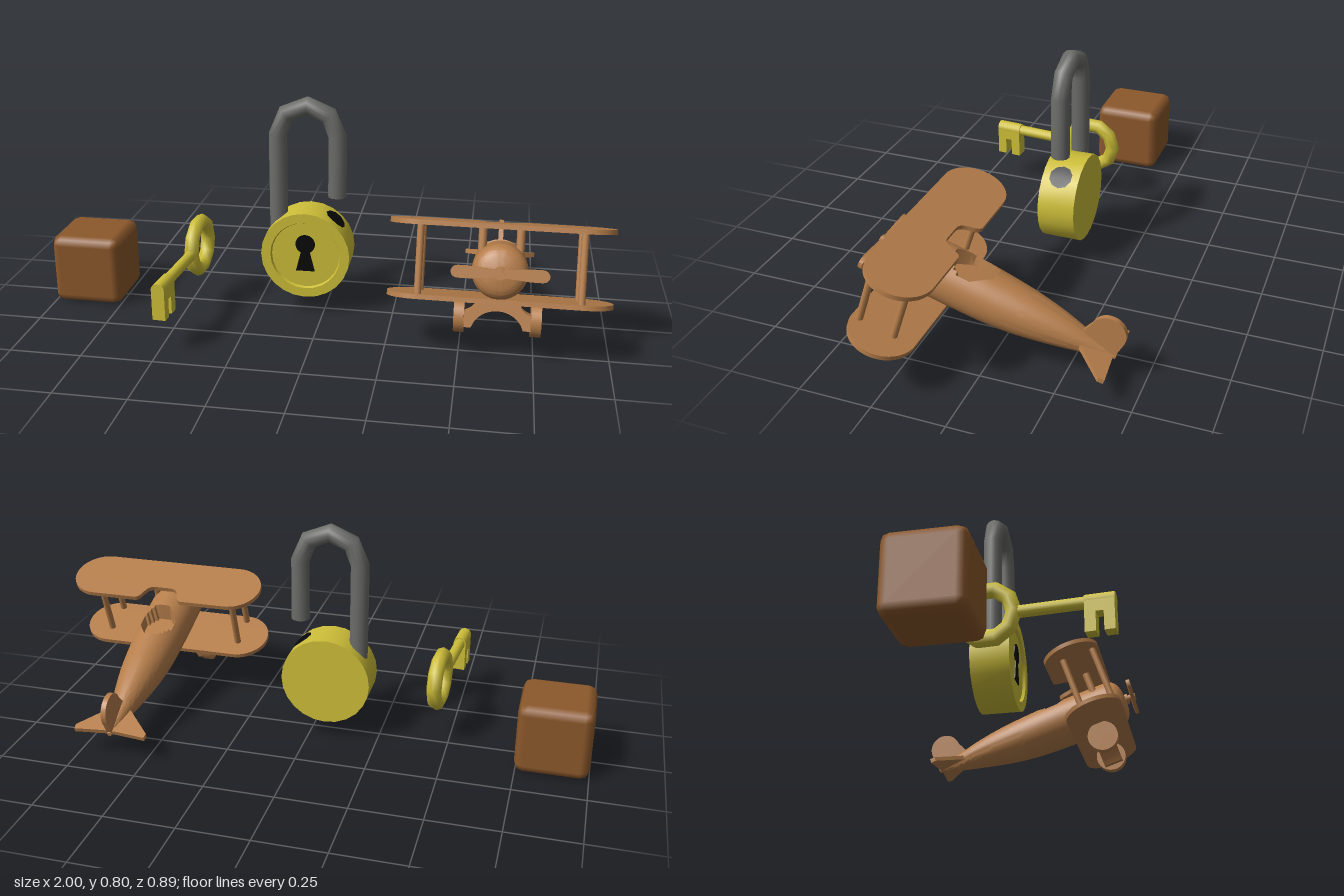
import * as THREE from 'three';
import { toCreasedNormals } from 'three/addons/utils/BufferGeometryUtils.js';
import { RoundedBoxGeometry } from 'three/addons/geometries/RoundedBoxGeometry.js';

const material = (name, color) => {
  const m = new THREE.MeshStandardMaterial({ color });
  m.name = name;
  return m;
};

function add(parent, name, geometry, mat, x = 0, y = 0, z = 0) {
  const mesh = new THREE.Mesh(geometry, mat);
  mesh.name = name;
  mesh.position.set(x, y, z);
  parent.add(mesh);
  return mesh;
}

function group(parent, name, x, y, z) {
  const g = new THREE.Group();
  g.name = name;
  g.position.set(x, y, z);
  parent.add(g);
  return g;
}

// flat plate cut from an outline, centred on its thickness
function plate(shape, depth) {
  const g = new THREE.ExtrudeGeometry(shape, { depth, bevelEnabled: false, curveSegments: 12 });
  return toCreasedNormals(g.translate(0, 0, -depth / 2), 0.6);
}
const outline = pts => new THREE.Shape(pts.map(p => new THREE.Vector2(...p)));
// round bar along z
const bar = (r, length, sides = 12) => new THREE.CylinderGeometry(r, r, length, sides).rotateX(Math.PI / 2);

// straight-segment path, so the tube keeps its angular bends
class Polyline extends THREE.Curve {
  constructor(points) { super(); this.points = points; }
  getPoint(t, target = new THREE.Vector3()) {
    const n = this.points.length - 1;
    const i = Math.min(Math.floor(t * n), n - 1);
    return target.lerpVectors(this.points[i], this.points[i + 1], t * n - i);
  }
  getPointAt(u, target) { return this.getPoint(u, target); }
  getTangentAt(u, target) { return this.getTangent(u, target); }
}

function addKey(root, brass) {
  const key = group(root, 'key', -0.455, 0.235, 0.035);
  key.rotation.y = -0.08;
  add(key, 'keyRing', new THREE.TorusGeometry(0.087, 0.027, 8, 10).rotateY(Math.PI / 2), brass);
  add(key, 'keyShaft', bar(0.02, 0.24), brass, 0, -0.003, 0.21);
  add(key, 'keyCollar', bar(0.024, 0.095), brass, 0, -0.002, 0.361);
  const bit = outline([[0.314, 0], [0.314, -0.11], [0.349, -0.11], [0.349, -0.045],
    [0.374, -0.045], [0.374, -0.11], [0.408, -0.11], [0.408, 0]]);
  add(key, 'keyBit', plate(bit, 0.046).rotateY(-Math.PI / 2), brass);
}

function addPadlock(root, brass, steel, black) {
  const lock = group(root, 'padlock', -0.063, 0.226, -0.013);
  // body with a raised rim around the face
  const profile = [[0, -0.067], [0.16, -0.067], [0.16, 0.068], [0.126, 0.068], [0.122, 0.058], [0, 0.058]];
  const body = new THREE.LatheGeometry(profile.map(p => new THREE.Vector2(...p)), 24);
  add(lock, 'lockBody', toCreasedNormals(body.rotateX(Math.PI / 2), 0.45), brass);

  // keyhole
  const hole = new THREE.Shape();
  hole.moveTo(-0.034, -0.06);
  hole.lineTo(0.034, -0.06);
  hole.lineTo(0.016, 0.012);
  hole.absarc(0, 0.042, 0.035, -1.1, Math.PI + 1.1, false);
  hole.lineTo(-0.016, 0.012);
  add(lock, 'keyhole', plate(hole, 0.004), black, 0, 0, 0.061);

  // empty shackle socket, bent onto the rounded side
  const socket = new THREE.CircleGeometry(0.042, 10).rotateX(-Math.PI / 2);
  const p = socket.attributes.position;
  for (let i = 0; i < p.count; i++) {
    const a = p.getX(i) / 0.16 + 0.69;
    p.setXYZ(i, 0.163 * Math.sin(a), 0.163 * Math.cos(a), p.getZ(i));
  }
  socket.computeVertexNormals();
  add(lock, 'shackleSocket', socket, black);

  // shackle
  const path = [new THREE.Vector3(-0.106, 0.05, 0)];
  for (let i = 0; i <= 4; i++) {
    const a = Math.PI * (1 - i / 4);
    path.push(new THREE.Vector3(0.106 * Math.cos(a), 0.43 + 0.106 * Math.sin(a), 0));
  }
  path.push(new THREE.Vector3(0.106, 0.209, 0));
  const tube = new THREE.TubeGeometry(new Polyline(path), path.length - 1, 0.033, 12);
  add(lock, 'shackle', tube, steel);
  add(lock, 'shackleEnd', new THREE.CircleGeometry(0.033, 12).rotateX(Math.PI / 2), steel, 0.106, 0.209, 0);
}

// wing outline with round tips and an optional cut-out behind
function wingShape(notched) {
  const s = new THREE.Shape();
  s.absarc(0.262, 0.082, 0.109, -Math.PI / 2, Math.PI / 2, false);
  s.absarc(-0.262, 0.082, 0.109, Math.PI / 2, Math.PI * 1.5, false);
  if (notched) {
    s.lineTo(-0.09, -0.027);
    s.bezierCurveTo(-0.06, -0.02, -0.075, 0.04, -0.03, 0.04);
    s.lineTo(0.03, 0.04);
    s.bezierCurveTo(0.075, 0.04, 0.06, -0.02, 0.09, -0.027);
  }
  s.closePath();
  return s;
}

function addPlane(root, wood) {
  const plane = group(root, 'biplane', 0.625, 0.25, 0.15);
  plane.rotation.x = -0.323;
  const axis = 0.02;

  // fuselage, with a cockpit hollow pressed into the top
  const profile = [[0.008, -0.58], [0.036, -0.475], [0.06, -0.37], [0.078, -0.26], [0.088, -0.14],
    [0.092, 0], [0.092, 0.1], [0.091, 0.165], [0.082, 0.192], [0.062, 0.208], [0.035, 0.216]];
  const spine = new THREE.SplineCurve(profile.map(q => new THREE.Vector2(...q))).getPoints(90);
  const hull = [new THREE.Vector2(0, -0.58), ...spine, new THREE.Vector2(0, 0.218)];
  const body = new THREE.LatheGeometry(hull, 48).rotateX(Math.PI / 2);
  const p = body.attributes.position;
  for (let i = 0; i < p.count; i++) {
    const y = p.getY(i), z = p.getZ(i);
    const inside = y > 0 && Math.hypot(p.getX(i) / 0.058, (z + 0.06) / 0.072) < 1;
    if (inside) p.setY(i, Math.min(y, 0.03));
    else p.setY(i, y + 0.008 * THREE.MathUtils.smoothstep(-z, 0.15, 0.45));
  }
  add(plane, 'fuselage', toCreasedNormals(body, 0.6), wood, 0, axis, 0);

  // wings
  add(plane, 'upperWing', plate(wingShape(true), 0.016).rotateX(Math.PI / 2), wood, 0, 0.167, 0);
  add(plane, 'lowerWing', plate(wingShape(false), 0.016).rotateX(Math.PI / 2), wood, 0, -0.077, 0);

  // propeller
  const blade = new THREE.Shape();
  blade.moveTo(0, 0.014);
  blade.bezierCurveTo(0.05, 0.012, 0.07, 0.022, 0.135, 0.02);
  blade.bezierCurveTo(0.163, 0.018, 0.163, -0.018, 0.135, -0.02);
  blade.bezierCurveTo(0.07, -0.022, 0.05, -0.012, 0, -0.014);
  for (const turn of [0, Math.PI]) {
    add(plane, 'propellerBlade', plate(blade, 0.014).rotateZ(turn), wood, 0, axis, 0.246);
  }
  add(plane, 'propellerShaft', bar(0.013, 0.06), wood, 0, axis, 0.228);
  add(plane, 'propellerCollar', bar(0.021, 0.016), wood, 0, axis, 0.22);
  add(plane, 'propellerHub', bar(0.019, 0.016), wood, 0, axis, 0.247);

  // struts and wheels on both sides
  for (const side of [-1, 1]) {
    for (const z of [0.045, 0.165]) {
      add(plane, 'wingStrut', new THREE.CylinderGeometry(0.012, 0.012, 0.236, 12), wood, side * 0.263, 0.044, z);
    }
    add(plane, 'centreStrut', new THREE.CylinderGeometry(0.014, 0.014, 0.11, 12), wood, side * 0.062, 0.108, 0.108);
    const wheel = new THREE.CylinderGeometry(0.058, 0.058, 0.034, 28).rotateZ(Math.PI / 2);
    add(plane, 'wheel', wheel, wood, side * 0.126, -0.138, 0.08);
  }

  // arched landing gear
  const arch = new THREE.Shape();
  arch.moveTo(-0.112, -0.175);
  arch.lineTo(-0.112, -0.125);
  arch.quadraticCurveTo(-0.075, -0.115, -0.07, -0.08);
  arch.lineTo(0.07, -0.08);
  arch.quadraticCurveTo(0.075, -0.115, 0.112, -0.125);
  arch.lineTo(0.112, -0.175);
  arch.lineTo(0.085, -0.175);
  arch.bezierCurveTo(0.06, -0.095, -0.06, -0.095, -0.085, -0.175);
  add(plane, 'landingGear', plate(arch, 0.075), wood, 0, 0, 0.08);

  // tail
  const tail = outline([[0, -0.44], [0.03, -0.458], [0.132, -0.562], [0.13, -0.582], [0.02, -0.572],
    [-0.02, -0.572], [-0.13, -0.582], [-0.132, -0.562], [-0.03, -0.458]]);
  add(plane, 'tailplane', plate(tail, 0.016).rotateX(Math.PI / 2), wood, 0, 0.03, 0);
  const fin = new THREE.Shape();
  fin.moveTo(-0.575, 0.03);
  fin.lineTo(-0.44, 0.04);
  fin.absarc(-0.53, 0.103, 0.058, 0.1, Math.PI + 0.15, false);
  fin.closePath();
  add(plane, 'tailFin', plate(fin, 0.018).rotateY(-Math.PI / 2), wood);
}

export function createModel() {
  const root = new THREE.Group();
  root.name = 'toySet';
  const wood = material('lightWood', 0xb57d4a);
  const darkWood = material('darkWood', 0x8c582b);
  const brass = material('brass', 0xccbd38);
  const steel = material('steel', 0x6c6c69);
  const black = material('black', 0x080808);

  add(root, 'woodenBlock', new RoundedBoxGeometry(0.255, 0.255, 0.255, 1, 0.032), darkWood, -0.8725, 0.1275, -0.018);
  addKey(root, brass);
  addPadlock(root, brass, steel, black);
  addPlane(root, wood);
  return root;
}
